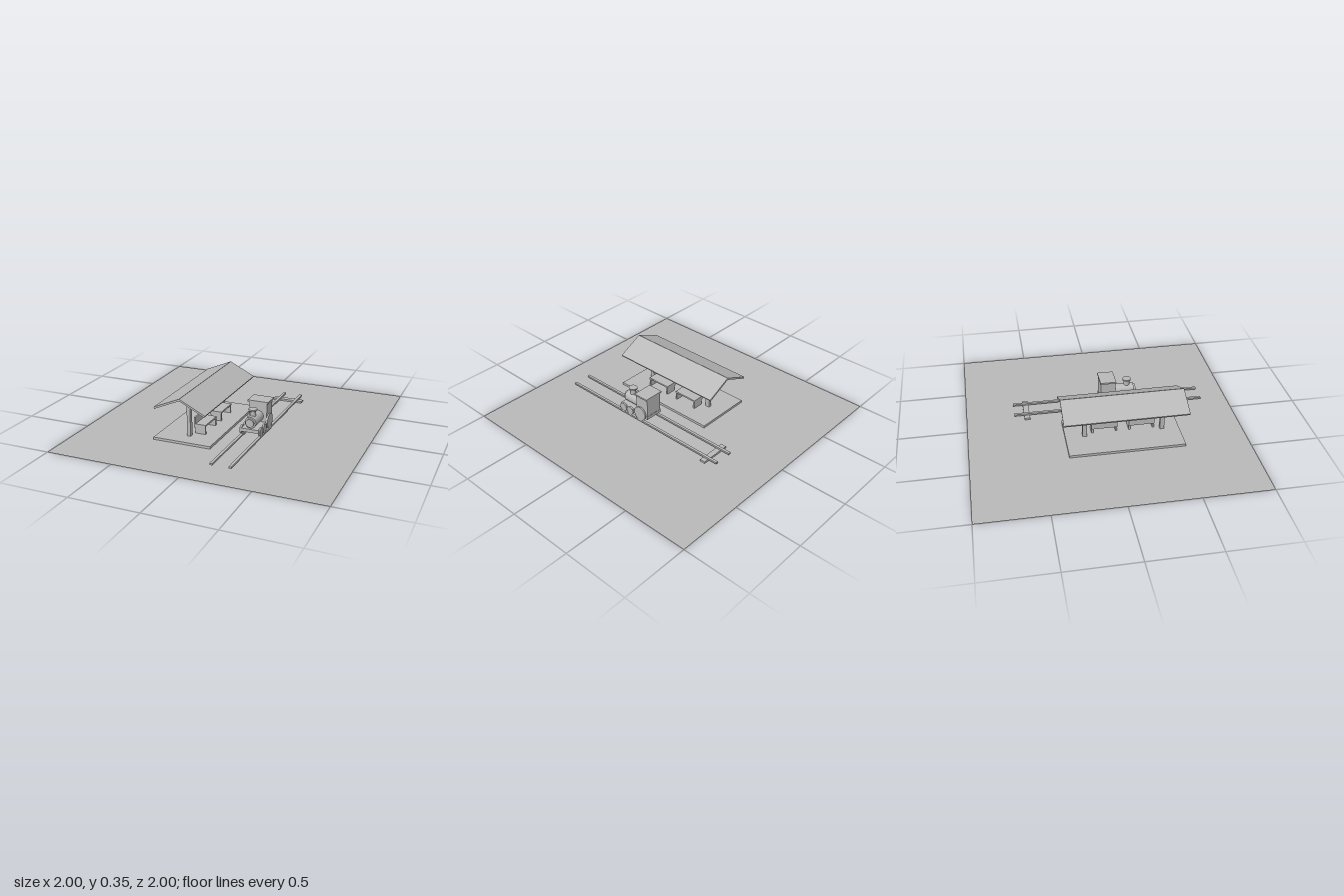
import * as THREE from 'three';

export function createModel() {
  const model = new THREE.Group();
  const grey = new THREE.MeshStandardMaterial({ color: 0xb8b8b8, side: THREE.DoubleSide });
  grey.name = 'plain grey';

  const add = (parent, name, geometry, x = 0, y = 0, z = 0) => {
    const mesh = new THREE.Mesh(geometry, grey);
    mesh.name = name;
    mesh.position.set(x, y, z);
    parent.add(mesh);
    return mesh;
  };
  // Box given by its extents along each axis
  const box = (parent, name, [x0, x1], [y0, y1], [z0, z1]) =>
    add(parent, name, new THREE.BoxGeometry(x1 - x0, y1 - y0, z1 - z0),
      (x0 + x1) / 2, (y0 + y1) / 2, (z0 + z1) / 2);
  // Sloping board in the xy plane between two points, deep along z
  const board = (parent, name, a, b, thick, z0, z1) => {
    const dx = b[0] - a[0], dy = b[1] - a[1];
    const mesh = add(parent, name, new THREE.BoxGeometry(Math.hypot(dx, dy), thick, z1 - z0),
      (a[0] + b[0]) / 2, (a[1] + b[1]) / 2, (z0 + z1) / 2);
    mesh.rotation.z = Math.atan2(dy, dx);
    return mesh;
  };
  const group = (name) => {
    const g = new THREE.Group();
    g.name = name;
    model.add(g);
    return g;
  };

  // Ground
  add(model, 'ground', new THREE.PlaneGeometry(2, 2).rotateX(-Math.PI / 2));

  // Station: platform, two posts with braces, gabled roof
  const station = group('station');
  box(station, 'platform', [-0.433, 0.005], [0.002, 0.02], [-0.305, 0.535]);
  board(station, 'roofLeft', [-0.406, 0.254], [-0.208, 0.34], 0.014, -0.335, 0.56);
  board(station, 'roofRight', [-0.212, 0.34], [-0.021, 0.245], 0.014, -0.335, 0.56);
  for (const z of [-0.163, 0.408]) {
    box(station, 'post', [-0.222, -0.196], [0.02, 0.335], [z - 0.016, z + 0.016]);
    for (const s of [-1, 1])
      board(station, 'brace', [-0.209 + s * 0.01, 0.252], [-0.209 + s * 0.092, 0.288], 0.011, z - 0.01, z + 0.01);
  }

  // Benches
  for (const [z0, z1] of [[-0.11, 0.08], [0.165, 0.355]]) {
    const bench = new THREE.Group();
    bench.name = 'bench';
    station.add(bench);
    box(bench, 'benchBack', [-0.2, -0.188], [0.06, 0.14], [z0, z1]);
    box(bench, 'benchSeat', [-0.19, -0.11], [0.078, 0.09], [z0, z1]);
    for (const z of [z0, z1 - 0.014])
      box(bench, 'benchEnd', [-0.19, -0.112], [0.02, 0.079], [z, z + 0.014]);
  }

  // Track
  const track = group('track');
  for (const x of [0.13, 0.266])
    box(track, 'rail', [x - 0.01, x + 0.01], [0.019, 0.032], [-0.645, 0.795]);
  box(track, 'sleeper', [0.08, 0.31], [0.005, 0.019], [-0.572, -0.53]);

  // Locomotive
  const engine = group('locomotive');
  const cx = 0.198;
  box(engine, 'footplate', [0.128, 0.268], [0.06, 0.085], [0.012, 0.288]);
  box(engine, 'cab', [0.131, 0.265], [0.085, 0.229], [0.014, 0.125]);
  box(engine, 'cabRoof', [0.12, 0.276], [0.228, 0.24], [0.01, 0.13]);
  const along = (name, r, z0, z1) =>
    add(engine, name, new THREE.CylinderGeometry(r, r, z1 - z0, 32).rotateX(Math.PI / 2), cx, 0.128, (z0 + z1) / 2);
  along('boiler', 0.042, 0.12, 0.272);
  along('smokeboxDoor', 0.03, 0.27, 0.288);

  // Chimney with a flared rim
  const profile = [[0, 0], [0.022, 0], [0.022, 0.04], [0.032, 0.046], [0.032, 0.056], [0, 0.056]];
  const points = [];
  profile.forEach(([r, y], i) => { // doubled points keep the edges sharp
    const p = new THREE.Vector2(r, y);
    points.push(p);
    if (i > 0 && i < profile.length - 1) points.push(p.clone());
  });
  add(engine, 'chimney', new THREE.LatheGeometry(points, 24), cx, 0.16, 0.223);

  // Wheels, mirrored to both sides
  for (const s of [-1, 1])
    for (const [name, r, y, z] of [['largeWheel', 0.055, 0.086, 0.083], ['smallWheel', 0.032, 0.064, 0.185], ['smallWheel', 0.032, 0.064, 0.253]])
      add(engine, name, new THREE.CylinderGeometry(r, r, 0.014, 28).rotateZ(Math.PI / 2), cx + s * 0.071, y, z);

  return model;
}
